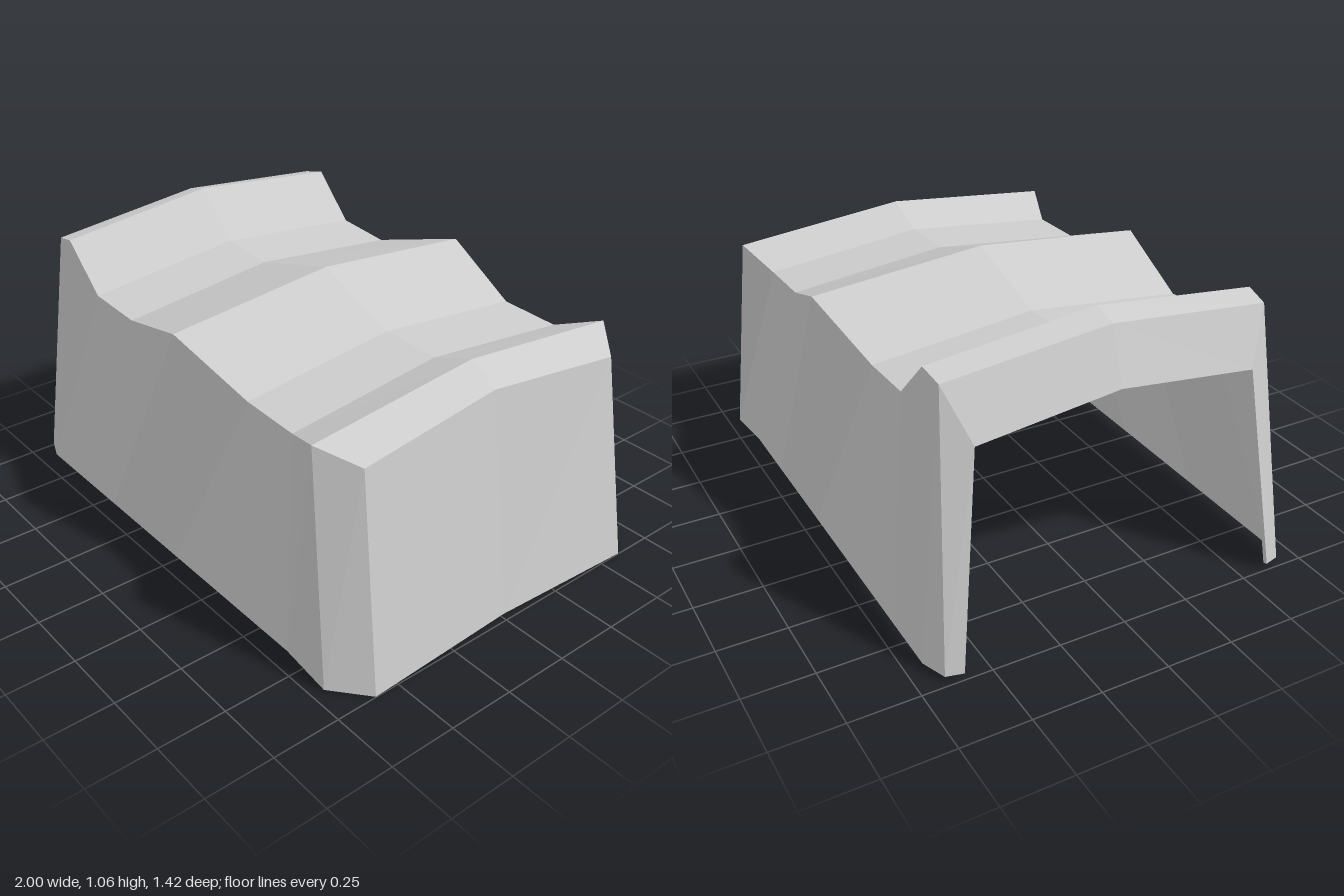
import * as THREE from 'three';

const THICKNESS = 0.013;

// Cross-sections along x: [bottom corner, eave, ridge], each x, y, z (front half; z is mirrored)
const SECTIONS = [
  [[-1.0, 0.025, 0.6], [-0.91, 0.78, 0.515], [-0.91, 0.84, 0]], // open end: folded lapel and valance
  [[-0.98, 0.02, 0.66], [-0.84, 0.975, 0.595], [-0.84, 1.035, 0]],
  [[-0.89, 0.02, 0.695], [-0.75, 0.995, 0.605], [-0.75, 1.06, 0]],
  [[-0.68, 0.02, 0.695], [-0.58, 0.827, 0.6], [-0.58, 0.89, 0]],
  [[-0.43, 0.02, 0.695], [-0.35, 0.812, 0.597], [-0.35, 0.876, 0]],
  [[0.01, 0.02, 0.695], [0.02, 0.92, 0.655], [0.02, 0.982, 0]],
  [[0.4, 0.02, 0.695], [0.355, 0.79, 0.598], [0.355, 0.855, 0]],
  [[0.67, 0.02, 0.695], [0.59, 0.782, 0.6], [0.59, 0.848, 0]],
  [[0.88, 0.01, 0.71], [0.76, 0.845, 0.66], [0.76, 0.912, 0]],
  [[1.0, 0, 0.595], [0.885, 0.785, 0.56], [0.87, 0.847, 0]], // closed end
];
const END_WALL_FOOT = [0.985, 0.015, 0];

function outerSkin() {
  const points = [];
  const index = [];
  const quad = (a, b, c, d) => index.push(a, b, c, a, c, d);
  const mirror = ([x, y, z]) => [x, y, -z];
  for (const [foot, eave, ridge] of SECTIONS) {
    points.push(foot, eave, ridge, mirror(eave), mirror(foot));
  }
  points.push(END_WALL_FOOT);

  // Walls and roof
  for (let i = 0; i < SECTIONS.length - 1; i++) {
    for (let j = 0; j < 4; j++) {
      const a = i * 5 + j;
      quad(a, a + 5, a + 6, a + 1);
    }
  }
  // Closed end wall
  const e = (SECTIONS.length - 1) * 5;
  const m = e + 5;
  quad(e, m, e + 2, e + 1);
  quad(m, e + 4, e + 3, e + 2);

  const geometry = new THREE.BufferGeometry();
  geometry.setAttribute('position', new THREE.Float32BufferAttribute(points.flat(), 3));
  geometry.setIndex(index);
  geometry.computeVertexNormals();
  return geometry;
}

// Gives an open skin an inner lining and a rim along its free edges
function thicken(skin, thickness) {
  const position = skin.attributes.position;
  const normal = skin.attributes.normal;
  const outer = Array.from(skin.index.array);
  const count = position.count;
  const points = Array.from(position.array);
  for (let i = 0; i < count * 3; i++) {
    points.push(position.array[i] - normal.array[i] * thickness);
  }
  const index = [...outer];
  const edges = new Set();
  for (let t = 0; t < outer.length; t += 3) {
    const [a, b, c] = outer.slice(t, t + 3);
    index.push(a + count, c + count, b + count);
    for (const [u, v] of [[a, b], [b, c], [c, a]]) edges.add(`${u},${v}`);
  }
  for (const edge of edges) {
    const [u, v] = edge.split(',').map(Number);
    if (edges.has(`${v},${u}`)) continue;
    index.push(v, u, u + count, v, u + count, v + count);
  }
  const solid = new THREE.BufferGeometry();
  solid.setAttribute('position', new THREE.Float32BufferAttribute(points, 3));
  solid.setIndex(index);
  const flat = solid.toNonIndexed();
  flat.computeVertexNormals();
  return flat;
}

export function createModel() {
  const group = new THREE.Group();
  group.name = 'drapedShelter';
  const cloth = new THREE.MeshStandardMaterial({ color: 0xcccccc, flatShading: true });
  cloth.name = 'light grey cloth';

  const canopy = new THREE.Mesh(thicken(outerSkin(), THICKNESS), cloth);
  canopy.name = 'canopy';
  group.add(canopy);
  return group;
}
